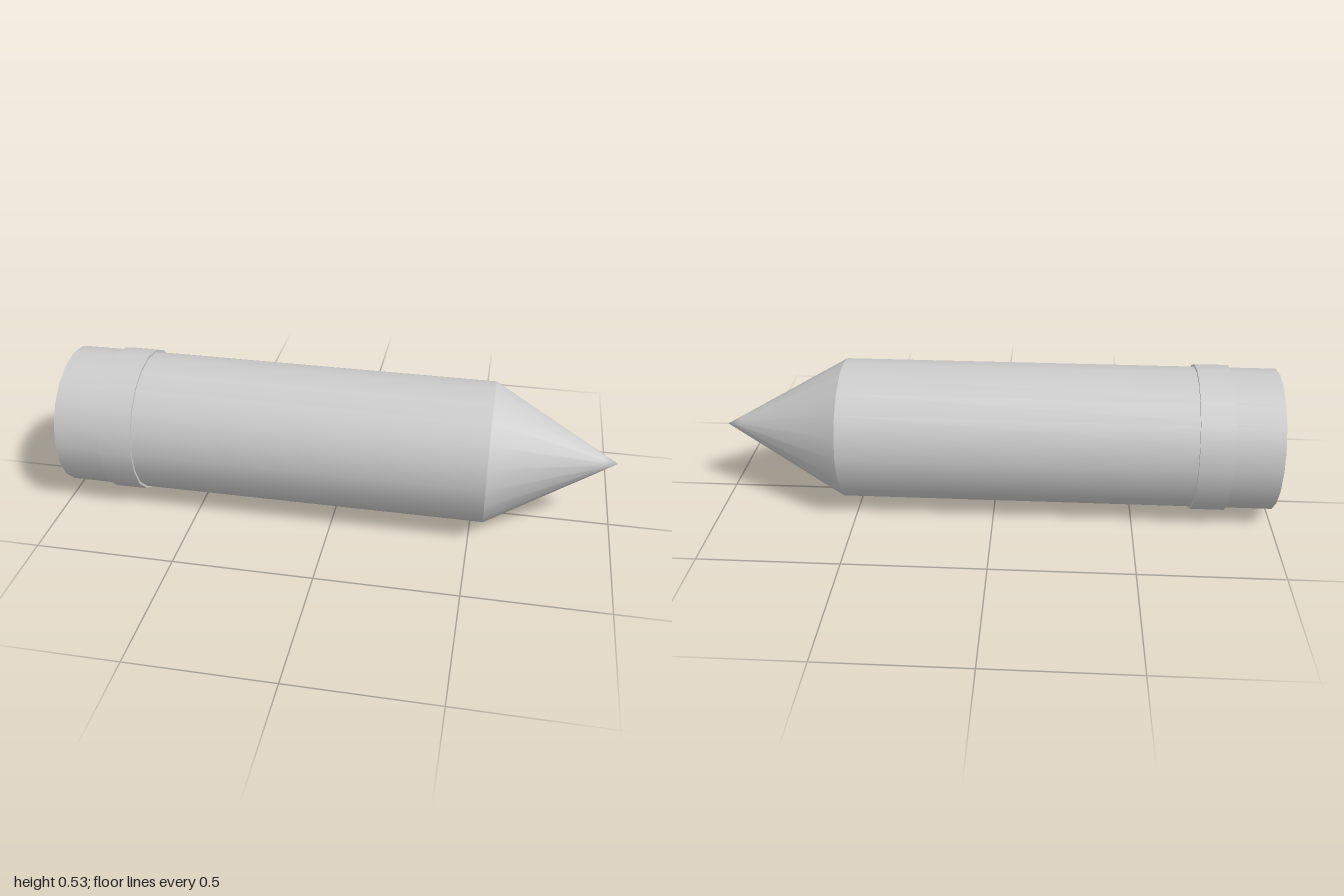
import * as THREE from 'three';

const SIDES = 20;
const AXIS_Y = 0.265;
const BODY_R = 0.255;
const BAND_R = 0.264;

export function createModel() {
  const group = new THREE.Group();
  const material = new THREE.MeshStandardMaterial({ color: 0xcccccc });

  // A round part along x, from x0 (radius r0) to x1 (radius r1)
  const addSection = (name, x0, r0, x1, r1, open = false) => {
    const geometry = new THREE.CylinderGeometry(r1, r0, x1 - x0, SIDES, 1, open);
    geometry.rotateZ(-Math.PI / 2);
    geometry.translate((x0 + x1) / 2, AXIS_Y, 0);
    const mesh = new THREE.Mesh(geometry, material);
    mesh.name = name;
    group.add(mesh);
    return mesh;
  };

  // Casing with a flat rear end and a slightly raised band near it
  addSection('casing', -1, BODY_R, 0.55, BODY_R);
  addSection('band', -0.83, BAND_R, -0.71, BAND_R);

  // Pointed nose
  addSection('nose', 0.55, BODY_R, 0.947, 0.03, true);
  const tip = addSection('noseTip', 0.947, 0.03, 1, 0, true);

  // Point the apex normals forward so the tip shades as softly rounded
  const { position, normal } = tip.geometry.attributes;
  for (let i = 0; i < position.count; i++) {
    if (position.getX(i) > 0.99) normal.setXYZ(i, 1, 0, 0);
  }

  return group;
}
